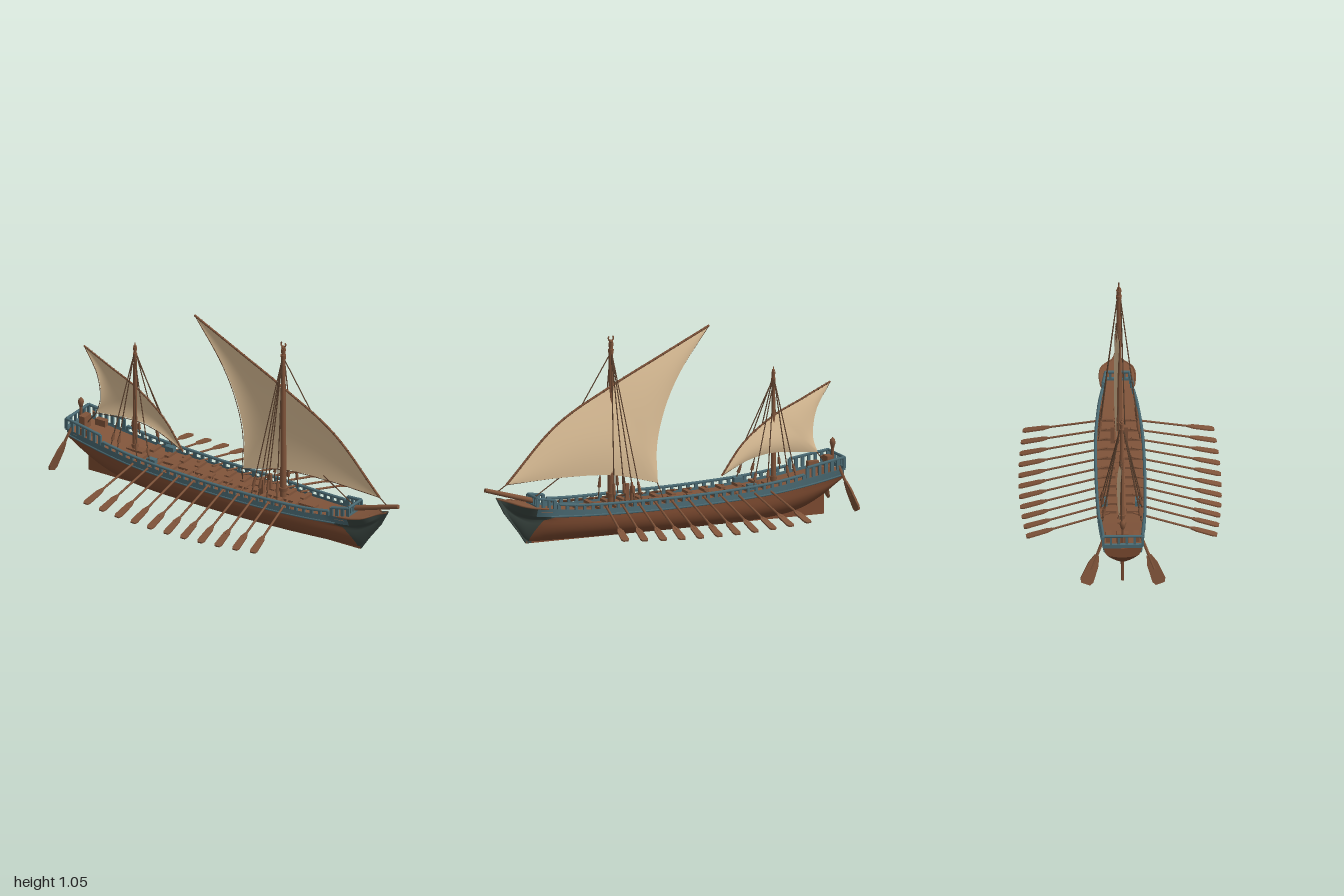
import * as THREE from 'three';

const V = (x, y, z) => new THREE.Vector3(x, y, z);
const mat = (name, color, double) => {
  const m = new THREE.MeshStandardMaterial({ color });
  m.name = name;
  if (double) m.side = THREE.DoubleSide;
  return m;
};

// Hull stations: keel, widest, band and top heights, widest and top half widths, bilge power
const stations = [
  [-0.96, 0.18, 0.2, 0.215, 0.25, 0.085, 0.1, 1.2],
  [-0.88, 0.105, 0.175, 0.2, 0.238, 0.093, 0.104, 1.5],
  [-0.75, 0.04, 0.15, 0.18, 0.218, 0.105, 0.111, 1.3],
  [-0.55, 0.012, 0.12, 0.157, 0.19, 0.118, 0.119, 0.95],
  [-0.2, 0.005, 0.11, 0.14, 0.17, 0.125, 0.124, 0.78],
  [0.2, 0.005, 0.11, 0.135, 0.166, 0.121, 0.119, 0.8],
  [0.5, 0.005, 0.115, 0.138, 0.17, 0.096, 0.097, 0.95],
  [0.64, 0.005, 0.12, 0.142, 0.182, 0.072, 0.08, 1.2],
  [0.7, 0.005, 0.125, 0.145, 0.19, 0.058, 0.086, 1.4],
  [0.77, 0.012, 0.13, 0.155, 0.202, 0.034, 0.09, 1.5],
  [0.83, 0.09, 0.155, 0.175, 0.216, 0.018, 0.073, 1.4],
  [0.875, 0.15, 0.187, 0.203, 0.229, 0.008, 0.022, 1.2],
  [0.93, 0.235, 0.24, 0.243, 0.247, 0.003, 0.004, 1],
];
const spline = new THREE.CubicInterpolant(stations.map(s => s[0]), stations.flatMap(s => s.slice(1)), 7);
const at = x => {
  const [k, m, b, t, wm, wt, p] = spline.evaluate(x);
  return { k: Math.max(k, 0.003), m, b, t, wm, wt, p };
};

// Point on the hull skin; s runs -1..1 from right rim over the keel to left rim
function skin(x, s) {
  const h = at(x), a = Math.abs(s), wb = (h.wm + h.wt) / 2;
  let y, z;
  if (a < 0.6) {
    const th = a / 0.6 * Math.PI / 2;
    z = h.wm * Math.pow(Math.sin(th), h.p);
    y = h.k + (h.m - h.k) * (1 - Math.cos(th));
  } else {
    const low = a < 0.8, q = (a - (low ? 0.6 : 0.8)) / 0.2;
    y = low ? h.m + (h.b - h.m) * q : h.b + (h.t - h.b) * q;
    z = low ? h.wm + (wb - h.wm) * q : wb + (h.wt - wb) * q;
  }
  return V(x, y, z * Math.sign(s));
}

// Surface from a rule over u, v in 0..1
function grid(fn, nu, nv) {
  const pos = [], idx = [];
  for (let i = 0; i <= nu; i++) for (let j = 0; j <= nv; j++) pos.push(...fn(i / nu, j / nv).toArray());
  for (let i = 0; i < nu; i++) for (let j = 0; j < nv; j++) {
    const a = i * (nv + 1) + j, b = a + nv + 1;
    idx.push(a, a + 1, b, b, a + 1, b + 1);
  }
  const g = new THREE.BufferGeometry();
  g.setAttribute('position', new THREE.Float32BufferAttribute(pos, 3));
  g.setIndex(idx);
  g.computeVertexNormals();
  return g;
}
const mix = (a, b, t) => a + (b - a) * t;
const curve = pts => new THREE.CatmullRomCurve3(pts.map(p => V(p[0], p[1], p[2] || 0)));

// Flat paddle blade along +z with a rounded tip, from [half width, distance] pairs
function paddle(half, depth) {
  const pts = [...half.map(([w, d]) => [-w, d]), ...half.slice().reverse()];
  const shape = new THREE.Shape(pts.map(p => new THREE.Vector2(...p)));
  return new THREE.ExtrudeGeometry(shape, { depth, bevelEnabled: false }).rotateX(Math.PI / 2).translate(0, depth / 2, 0);
}

export function createModel() {
  const ship = new THREE.Group();
  ship.name = 'galley';
  const hullM = mat('hullBrown', 0x7c4a30, true), wood = mat('wood', 0x80543a, true);
  const teal = mat('tealPaint', 0x4b6b74, true), dark = mat('darkBow', 0x3b4742, true);
  const canvas = mat('canvas', 0xe2c49b, true), ropeM = mat('rope', 0x5e4330);

  const add = (name, geo, m, parent = ship) => {
    const o = new THREE.Mesh(geo, m);
    o.name = name;
    parent.add(o);
    return o;
  };
  const box = (name, w, h, d, x, y, z, m, parent) => {
    const o = add(name, new THREE.BoxGeometry(w, h, d), m, parent);
    o.position.set(x, y, z);
    return o;
  };
  const beam = (name, a, b, r0, r1, m, n = 8, parent = ship) => {
    const d = b.clone().sub(a);
    const o = add(name, new THREE.CylinderGeometry(r1, r0, d.length(), n), m, parent);
    o.position.copy(a).addScaledVector(d, 0.5);
    o.quaternion.setFromUnitVectors(V(0, 1, 0), d.normalize());
    return o;
  };
  const slab = (name, pts, depth, m) => {
    const g = new THREE.ExtrudeGeometry(new THREE.Shape(pts.map(p => new THREE.Vector2(...p))), { depth, bevelEnabled: false });
    return add(name, g.translate(0, 0, -depth / 2), m);
  };

  // Hull skin; the dark bow paint ends in a curve that sweeps aft towards the rim
  const paintEdge = s => 0.745 + 0.12 * Math.abs(s) - 0.34 * s * s;
  const strip = (x0, x1, s0, s1, nu, nv) => grid((u, v) => skin(mix(x0, x1, u), mix(s0, s1, v)), nu, nv);
  add('hull', grid((u, v) => { const s = mix(-0.8, 0.8, v); return skin(mix(-0.96, paintEdge(s), u), s); }, 50, 32), hullM);
  add('bow', grid((u, v) => { const s = mix(-0.8, 0.8, v); return skin(mix(paintEdge(s), 0.93, u), s); }, 18, 32), dark);
  for (const s of [-1, 1]) {
    add('upperStrake', strip(-0.96, 0.74, s * 0.8, s, 48, 2), teal);
    add('bowStrake', strip(0.74, 0.93, s * 0.8, s, 14, 2), dark);
  }
  add('transom', grid((u, v) => skin(-0.96, u * 2 - 1).lerp(V(-0.96, 0.23, 0), v), 32, 1), hullM);
  slab('keel', [[-0.89, 0], [0.77, 0], [0.77, 0.014], [-0.55, 0.02], [-0.75, 0.06], [-0.87, 0.13], [-0.89, 0.115]], 0.014, hullM);
  slab('stem', [[0.74, 0], [0.77, 0], [0.81, 0.06], [0.89, 0.165], [0.935, 0.25], [0.9, 0.245], [0.8, 0.12], [0.75, 0.08]], 0.014, dark);

  // Decks
  const deckY = x => at(x).b + (at(x).t - at(x).b) * 0.6;
  add('deck', grid((u, v) => { const x = mix(-0.958, 0.72, u); return V(x, deckY(x), at(x).wt * (1 - 2 * v) * 0.98); }, 40, 2), wood);
  add('beakDeck', grid((u, v) => { const x = mix(0.68, 0.928, u); return V(x, at(x).t, at(x).wt * (1 - 2 * v)); }, 24, 2), wood);
  for (let i = 0; i < 11; i++) {
    const x = -0.6 + i * 0.105;
    box('gangwayPlank', 0.098, 0.012, 0.045, x, deckY(x) + 0.007, 0, wood);
  }

  // Rails with posts; higher at the stern and bow
  const railZ = x => x > 0.55 ? mix(at(0.55).wt, 0.06, (x - 0.55) / 0.18) : at(x).wt;
  const rise = x => x < -0.74 ? 0.056 : x > 0.63 ? 0.045 : 0.024;
  const sections = [[-0.96, -0.75, 6], [-0.73, 0.62, 30], [0.64, 0.73, 3]];
  for (const s of [-1, 1]) {
    const side = new THREE.Group();
    side.name = s > 0 ? 'leftSide' : 'rightSide';
    side.scale.z = s;
    ship.add(side);
    for (const [x0, x1, n] of sections) {
      const top = [];
      for (let i = 0; i <= n; i++) {
        const x = mix(x0, x1, i / n), r = rise(x);
        top.push([x, at(x).t + r, railZ(x)]);
        box('railPost', 0.016, r, 0.012, x, at(x).t + r / 2, railZ(x), teal, side);
      }
      for (let i = 0; i < n; i++) beam('topRail', V(...top[i]), V(...top[i + 1]), 0.008, 0.008, teal, 6, side);
    }
    const rim = [];
    for (let i = 0; i <= 24; i++) { const x = mix(-0.96, 0.66, i / 24); rim.push([x, at(x).b, skin(x, 0.8).z]); }
    add('rubbingStrake', new THREE.TubeGeometry(curve(rim), 50, 0.005, 5), teal, side);
    const edge = [];
    for (let i = 0; i <= 12; i++) { const x = mix(0.68, 0.93, i / 12); edge.push([x, at(x).t, at(x).wt]); }
    add('beakRim', new THREE.TubeGeometry(curve(edge), 24, 0.005, 5), wood, side);

    // Oars and rowing benches
    const oarBlade = paddle([[0.007, 0], [0.017, 0.03], [0.02, 0.125], [0.013, 0.14]], 0.008);
    for (let i = 0; i < 11; i++) {
      const tipX = -0.59 + i * 0.102, x = tipX * 0.9 - 0.015, c = Math.pow((i - 5) / 5, 2);
      const start = V(x - (tipX - x) * 0.2, 0.185, 0.06);
      const tip = V(tipX, 0.063 + 0.018 * c, 0.515 - 0.03 * c);
      const oar = new THREE.Group();
      oar.name = 'oar';
      oar.position.copy(start);
      oar.lookAt(tip);
      const len = start.distanceTo(tip);
      beam('oarShaft', V(0, 0, 0), V(0, 0, len - 0.1), 0.006, 0.006, wood, 6, oar);
      add('oarBlade', oarBlade, wood, oar).position.z = len - 0.14;
      side.add(oar);
      box('bench', 0.024, 0.014, 0.075, x + 0.02, deckY(x) + 0.012, 0.062, wood, side);
    }

    // Steering oar
    const rudder = new THREE.Group(), from = V(-0.925, 0.28, 0.095), to = V(-0.993, 0.045, 0.19);
    rudder.name = 'steeringOar';
    rudder.up.set(1, 0, 0);
    rudder.position.copy(from);
    rudder.lookAt(to);
    const rl = from.distanceTo(to);
    beam('steeringShaft', V(0, 0, 0), V(0, 0, rl - 0.08), 0.008, 0.008, wood, 6, rudder);
    const blade = paddle([[0.012, 0], [0.028, 0.05], [0.035, 0.14], [0.024, 0.16]], 0.01);
    add('steeringBlade', blade, wood, rudder).position.z = rl - 0.16;
    side.add(rudder);

    // Shrouds: mast x, top height and foot positions, with blocks
    for (const [mx, top, feet] of [[0.295, 0.95, [0.17, 0.21, 0.26, 0.32]], [-0.61, 0.73, [-0.69, -0.65, -0.53, -0.45]]])
      for (const fx of feet) {
        const a = V(mx, top, 0.008), b = V(fx, at(fx).t + 0.02, railZ(fx) - 0.015);
        beam('shroud', a, b, 0.003, 0.003, ropeM, 5, side);
        const p = b.clone().lerp(a, 0.06), q = b.clone().lerp(a, 0.13);
        beam('shroudBlock', p, q, 0.009, 0.006, wood, 6, side);
      }
    box('bitt', 0.02, 0.1, 0.02, 0.19, 0.2, 0.035, wood, side);
    box('sternBench', 0.06, 0.035, 0.03, -0.86, 0.245, 0.07, wood, side);
    box('deckChest', 0.05, 0.03, 0.03, -0.45, 0.198, 0.085, teal, side);
  }
  for (const [x, w] of [[-0.96, 0.1], [0.73, 0.06]]) {
    const y = at(x).t, r = rise(x);
    beam('crossRail', V(x, y + r, -w), V(x, y + r, w), 0.008, 0.008, teal, 6);
    box('crossSill', 0.016, 0.02, w * 2, x, y, 0, teal);
    for (let i = 1; i < 5; i++) box('crossPost', 0.012, r, 0.012, x, y + r / 2, mix(-w, w, i / 5), teal);
  }

  // Bowsprit, stern lantern and seat
  beam('bowsprit', V(0.7, 0.21, 0), V(0.997, 0.297, 0), 0.015, 0.011, wood, 10);
  beam('lanternPost', V(-0.94, 0.23, 0), V(-0.94, 0.34, 0), 0.007, 0.007, wood, 6);
  const lantern = [[0, 0], [0.009, 0.004], [0.016, 0.03], [0.013, 0.045], [0.005, 0.052], [0, 0.06]];
  add('lantern', new THREE.LatheGeometry(lantern.map(p => new THREE.Vector2(...p)), 8), wood).position.set(-0.94, 0.335, 0);
  box('helmSeat', 0.035, 0.07, 0.06, -0.915, 0.265, 0, wood);

  // Masts with collars and finials
  for (const [x, top, r] of [[0.295, 1.0, 0.018], [-0.61, 0.765, 0.014]]) {
    beam('mast', V(x, 0.13, 0), V(x, top, 0), r, r * 0.6, wood, 10);
    for (const [h, k] of [[top - 0.045, 0.85], [top - 0.012, 0.75], [0.21, 1.4]])
      add('mastCollar', new THREE.CylinderGeometry(r * k, r * k * 0.85, 0.022, 10), wood).position.set(x, h, 0);
    add('mastKnob', new THREE.SphereGeometry(r * 0.6, 10, 8), wood).position.set(x, top + 0.006, 0);
  }
  const crescent = add('crescentFinial', new THREE.TorusGeometry(0.014, 0.004, 6, 16, Math.PI * 1.5), wood);
  crescent.position.set(0.295, 1.024, 0);
  crescent.rotation.z = Math.PI * 0.75;
  beam('mizzenFinial', V(-0.61, 0.76, 0), V(-0.61, 0.79, 0), 0.005, 0.002, wood, 6);

  // Lateen sails: yard, leech and foot curves
  const lateen = (name, yardPts, leechPts, footPts, z, belly, r) => {
    const g = new THREE.Group();
    g.name = name;
    g.position.z = z;
    ship.add(g);
    const yard = curve(yardPts), leech = curve(leechPts), foot = curve(footPts);
    const low = u => u < 0.5 ? leech.getPoint(u * 2) : foot.getPoint(u * 2 - 1);
    add('sail', grid((u, v) => {
      const p = yard.getPoint(u).lerp(low(u), v);
      p.z = -belly * Math.sin(Math.PI * u) * Math.sin(Math.PI * v * 0.85);
      return p;
    }, 32, 14), canvas, g);
    add('yard', new THREE.TubeGeometry(yard, 40, r, 7), wood, g);
    for (const e of [leech, foot]) add('boltRope', new THREE.TubeGeometry(e, 24, 0.002, 5), ropeM, g);
    for (let i = 1; i < 28; i++) {
      const lash = add('lashing', new THREE.TorusGeometry(r, 0.0018, 4, 8), ropeM, g);
      lash.position.copy(yard.getPoint(i / 28));
      lash.quaternion.setFromUnitVectors(V(0, 0, 1), yard.getTangent(i / 28));
    }
  };
  lateen('mainSail', [[-0.25, 1.04], [0.05, 0.895], [0.295, 0.775], [0.6, 0.6], [0.88, 0.315]],
    [[-0.25, 1.04], [-0.085, 0.81], [0, 0.63], [0.045, 0.44], [0.04, 0.25]],
    [[0.04, 0.25], [0.28, 0.31], [0.55, 0.325], [0.88, 0.315]], -0.005, 0.022, 0.006);
  lateen('mizzenSail', [[-0.925, 0.685], [-0.765, 0.61], [-0.605, 0.535], [-0.44, 0.41], [-0.32, 0.25]],
    [[-0.925, 0.685], [-0.845, 0.545], [-0.825, 0.41], [-0.85, 0.325]],
    [[-0.85, 0.325], [-0.6, 0.345], [-0.47, 0.32], [-0.32, 0.25]], -0.005, 0.02, 0.005);

  // Running ropes
  const ropes = [[0.295, 0.95, 0, 0.46, 0.69, -0.005], [0.54, 0.35, 0, 0.72, 0.235, 0],
    [0.295, 0.94, 0.01, 0.2, 0.22, 0.03], [-0.61, 0.73, 0, -0.45, 0.42, -0.005],
    [0.88, 0.315, -0.005, 0.93, 0.28, 0], [0.04, 0.25, -0.005, 0.02, 0.17, -0.04], [-0.85, 0.325, -0.005, -0.9, 0.26, 0]];
  for (const [a, b, c, d, e, f] of ropes) beam('runningRope', V(a, b, c), V(d, e, f), 0.003, 0.003, ropeM, 5);
  return ship;
}
